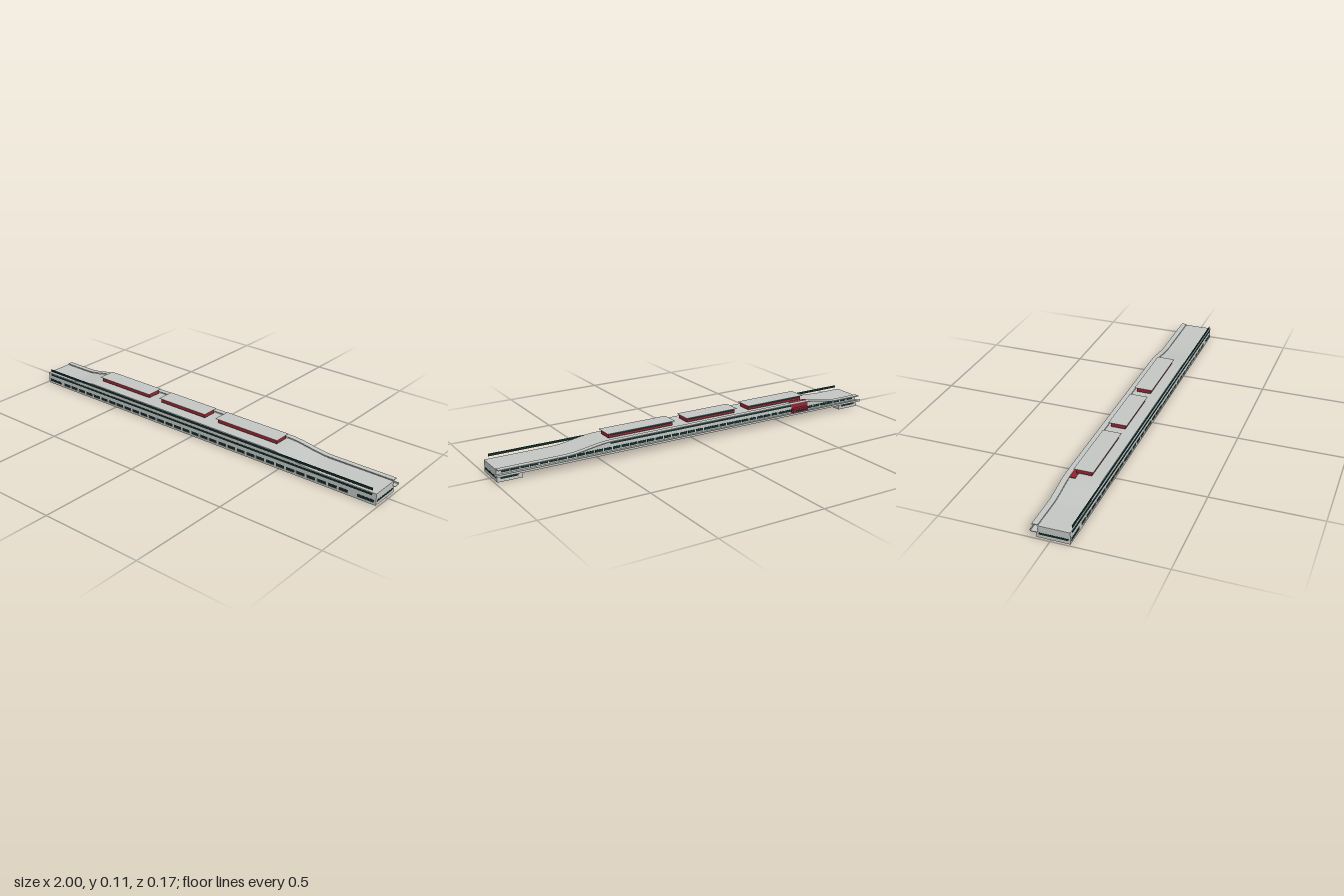
import * as THREE from 'three';
import { toCreasedNormals } from 'three/addons/utils/BufferGeometryUtils.js';

const mat = (name, color) => Object.assign(new THREE.MeshStandardMaterial({ color }), { name });

// Roof height along the length: low ends, raised middle, smooth ramps
const roofY = (x) => 0.056 + 0.026 *
  (THREE.MathUtils.smoothstep(x, -0.84, -0.64) - THREE.MathUtils.smoothstep(x, 0.45, 0.68));

function roofLine(lift) {
  const pts = [[-0.99, roofY(-0.99) + lift]];
  for (const [a, b] of [[-0.84, -0.64], [0.45, 0.68]]) {
    for (let i = 0; i <= 12; i++) {
      const x = a + (b - a) * i / 12;
      pts.push([x, roofY(x) + lift]);
    }
  }
  pts.push([0.99, roofY(0.99) + lift]);
  return pts.map(([x, y]) => new THREE.Vector2(x, y));
}

export function createModel() {
  const concrete = mat('concrete', 0xc2c5c2);
  const glass = mat('darkGlass', 0x0f2b29);
  const red = mat('redCladding', 0x9a2230);
  const model = new THREE.Group();
  model.name = 'longBuilding';

  const add = (name, geo, material, parent = model) => {
    const mesh = new THREE.Mesh(geo, material);
    mesh.name = name;
    parent.add(mesh);
    return mesh;
  };
  // Box given by its limits on each axis
  const box = (name, material, x0, x1, y0, y1, z0, z1, parent) => {
    const mesh = add(name, new THREE.BoxGeometry(x1 - x0, y1 - y0, z1 - z0), material, parent);
    mesh.position.set((x0 + x1) / 2, (y0 + y1) / 2, (z0 + z1) / 2);
    return mesh;
  };
  const extrude = (name, shape, z0, z1) => {
    const geo = new THREE.ExtrudeGeometry(shape, { depth: z1 - z0, bevelEnabled: false });
    add(name, toCreasedNormals(geo, 0.4), concrete).position.z = z0;
  };

  // Upper floors under the curved roof
  const bottom = [new THREE.Vector2(0.99, 0.03), new THREE.Vector2(-0.99, 0.03)];
  extrude('upperFloors', new THREE.Shape([...roofLine(0), ...bottom]), -0.055, 0.084);

  // Curved canopy over the rear gallery
  extrude('rearCanopy', new THREE.Shape([...roofLine(0.005), ...roofLine(0.001).reverse()]), -0.081, -0.055);

  // Ground floor front wall with a row of openings and panes
  const wall = new THREE.Shape([[-0.99, 0], [0.99, 0], [0.99, 0.03], [-0.99, 0.03]]
    .map(([x, y]) => new THREE.Vector2(x, y)));
  const panes = new THREE.Group();
  panes.name = 'groundFloorPanes';
  model.add(panes);
  const count = 32, pitch = 1.74 / count;
  for (let i = 0; i < count; i++) {
    const x0 = -0.88 + i * pitch + 0.005, x1 = x0 + pitch - 0.01;
    wall.holes.push(new THREE.Path([[x0, 0.01], [x0, 0.025], [x1, 0.025], [x1, 0.01]]
      .map(([x, y]) => new THREE.Vector2(x, y))));
    const pane = add('pane', new THREE.PlaneGeometry(x1 - x0, 0.015), glass, panes);
    pane.position.set((x0 + x1) / 2, 0.0175, 0.082);
  }
  extrude('groundFloorWall', wall, 0.079, 0.084);

  // Hollow end blocks, open below
  for (const s of [-1, 1]) {
    const end = new THREE.Group();
    end.name = s > 0 ? 'leftEndBlock' : 'rightEndBlock';
    model.add(end);
    const span = (a, b) => (s > 0 ? [a, b] : [-b, -a]);
    box('endWall', concrete, ...span(0.984, 0.99), 0, 0.03, -0.063, 0.079, end);
    box('innerWall', concrete, ...span(0.875, 0.881), 0, 0.03, -0.063, 0.079, end);
    box('rearWall', concrete, ...span(0.881, 0.984), 0, 0.03, -0.063, -0.057, end);
    box('endWindow', glass, ...span(0.989, 0.991), 0.015, 0.024, -0.053, 0.076, end);
    box('frontWindow', glass, ...span(0.9, 0.98), 0.011, 0.024, 0.083, 0.085, end);
    box('rearWindow', glass, ...span(0.895, 0.975), 0.013, 0.024, -0.064, -0.062, end);
  }

  // Long window bands
  box('frontLowerBand', glass, -0.97, 0.97, 0.043, 0.052, 0.083, 0.0855);
  box('frontUpperBand', glass, -0.97, 0.97, 0.067, 0.078, 0.083, 0.0855);
  box('rearUpperBand', glass, -0.64, 0.45, 0.066, 0.076, -0.0565, -0.054);
  for (let i = 0; i < 44; i++) {
    const x = -0.97 + i * 0.0442;
    box('rearWindow', glass, x, x + 0.038, 0.039, 0.051, -0.0565, -0.054);
  }

  // Rear gallery walkway and rail
  box('galleryFloor', concrete, -1, 1, 0.03, 0.033, -0.085, -0.055);
  box('galleryRail', concrete, -1, 1, 0.033, 0.04, -0.085, -0.083);

  // Red stair core at the rear
  box('stairCore', red, -0.67, -0.57, 0.034, 0.0835, -0.057, -0.029);
  box('stairLanding', red, -0.66, -0.57, 0.034, 0.056, -0.075, -0.055);
  box('stairWindow', glass, -0.65, -0.58, 0.041, 0.049, -0.0765, -0.0745);

  // Rooftop pavilions with thin overhanging roofs
  for (const [x0, x1] of [[-0.645, -0.31], [-0.243, 0.042], [0.107, 0.457]]) {
    const pavilion = new THREE.Group();
    pavilion.name = 'rooftopPavilion';
    model.add(pavilion);
    box('plinth', concrete, x0 + 0.03, x1 - 0.03, 0.08, 0.088, -0.02, 0.016, pavilion);
    box('walls', red, x0 + 0.007, x1 - 0.007, 0.0875, 0.108, -0.037, 0.033, pavilion);
    box('rearGlazing', glass, x0 + 0.015, x1 - 0.015, 0.097, 0.106, -0.038, -0.036, pavilion);
    box('flatRoof', concrete, x0, x1, 0.108, 0.11, -0.046, 0.042, pavilion);
  }
  return model;
}
